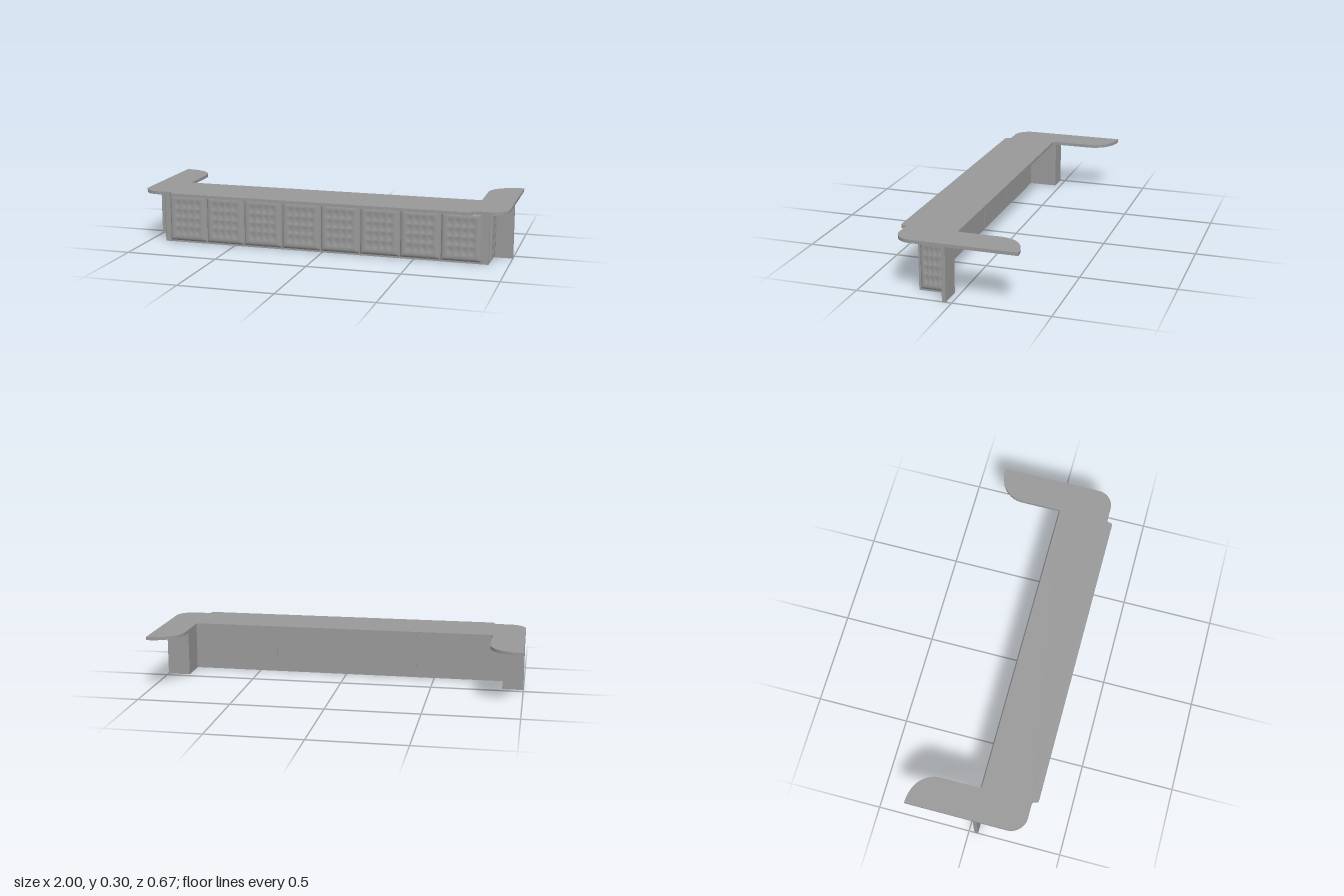
import * as THREE from 'three';

const grey = new THREE.MeshStandardMaterial({ color: 0x999999 });
grey.name = 'grey';

function add(parent, name, geometry, x = 0, y = 0, z = 0) {
  const mesh = new THREE.Mesh(geometry, grey);
  mesh.name = name;
  mesh.position.set(x, y, z);
  parent.add(mesh);
  return mesh;
}

// Box given by its minimum and maximum corners
function block(parent, name, x0, x1, y0, y1, z0, z1) {
  return add(parent, name, new THREE.BoxGeometry(x1 - x0, y1 - y0, z1 - z0),
    (x0 + x1) / 2, (y0 + y1) / 2, (z0 + z1) / 2);
}

// Padded panel: rounded rim and a 4 x 4 field of shallow dents
function cushion(w, h) {
  const depth = 0.014, rim = 0.025, dent = 0.004;
  const g = new THREE.PlaneGeometry(w, h, 40, 40);
  const p = g.attributes.position;
  for (let i = 0; i < p.count; i++) {
    const x = p.getX(i), y = p.getY(i);
    const d = Math.min(w / 2 - Math.abs(x), h / 2 - Math.abs(y));
    const t = 1 - Math.min(Math.max(d, 0) / rim, 1);
    let z = depth * Math.sqrt(1 - t * t);
    const u = (x / w + 0.36) / 0.72, v = (y / h + 0.38) / 0.76;
    if (u > 0 && u < 1 && v > 0 && v < 1) {
      z -= dent * Math.abs(Math.sin(4 * Math.PI * u) * Math.sin(4 * Math.PI * v));
    }
    p.setZ(i, z);
  }
  g.computeVertexNormals();
  return g;
}

// U-shaped top, outlined in x and -z
function counterShape() {
  const s = new THREE.Shape();
  s.moveTo(-1, 0.335);
  s.lineTo(-0.985, 0.335);
  s.bezierCurveTo(-0.89, 0.33, -0.825, 0.27, -0.825, 0.19);
  s.lineTo(-0.825, -0.015);
  s.quadraticCurveTo(-0.825, -0.03, -0.81, -0.03);
  s.lineTo(0.81, -0.03);
  s.quadraticCurveTo(0.825, -0.03, 0.825, -0.015);
  s.lineTo(0.825, 0.19);
  s.bezierCurveTo(0.825, 0.27, 0.89, 0.33, 0.985, 0.335);
  s.lineTo(1, 0.335);
  s.lineTo(1, -0.21);
  s.bezierCurveTo(1, -0.26, 0.96, -0.3, 0.91, -0.3);
  s.lineTo(0.84, -0.3);
  s.quadraticCurveTo(0.822, -0.3, 0.822, -0.317);
  s.quadraticCurveTo(0.822, -0.332, 0.807, -0.332);
  s.lineTo(-0.807, -0.332);
  s.quadraticCurveTo(-0.822, -0.332, -0.822, -0.317);
  s.quadraticCurveTo(-0.822, -0.3, -0.84, -0.3);
  s.lineTo(-0.91, -0.3);
  s.bezierCurveTo(-0.96, -0.3, -1, -0.26, -1, -0.21);
  s.closePath();
  return s;
}

export function createModel() {
  const model = new THREE.Group();
  model.name = 'barCounter';

  const top = 0.283, left = 0.897, right = -0.906;

  // Counter top
  const slab = new THREE.ExtrudeGeometry(counterShape(),
    { depth: 0.3 - top, bevelEnabled: false, curveSegments: 12 });
  slab.rotateX(-Math.PI / 2);
  add(model, 'counterTop', slab, 0, top, 0);

  // Thin front wall, side returns and end wings
  block(model, 'frontWall', right, left, 0, top, 0.19, 0.209);
  for (const [side, s, x] of [['left', 1, left], ['right', -1, right]]) {
    const inner = x - s * 0.02;
    block(model, side + 'SideWall', Math.min(x, inner), Math.max(x, inner), 0, top, 0.05, 0.19);
    block(model, side + 'Wing', Math.min(inner, s), Math.max(inner, s), 0, top, 0.03, 0.05);
    // Padded panel on the side wall
    add(model, side + 'SidePanel', cushion(0.145, 0.262), x + s * 0.001, 0.141, 0.125)
      .rotation.y = s * Math.PI / 2;
  }

  // Flat boards on the back, with narrow seams
  for (let i = 0; i < 4; i++) {
    const x = -0.8 + i * 0.4;
    block(model, 'backBoard', x + 0.002, x + 0.398, 0.002, top, 0.187, 0.19);
  }

  // Row of padded front panels
  const pitch = 0.2172, first = -0.877;
  const panel = cushion(pitch - 0.005, 0.262);
  for (let i = 0; i < 8; i++) {
    add(model, 'frontPanel', panel, first + pitch * (i + 0.5), 0.141, 0.21);
  }

  return model;
}
